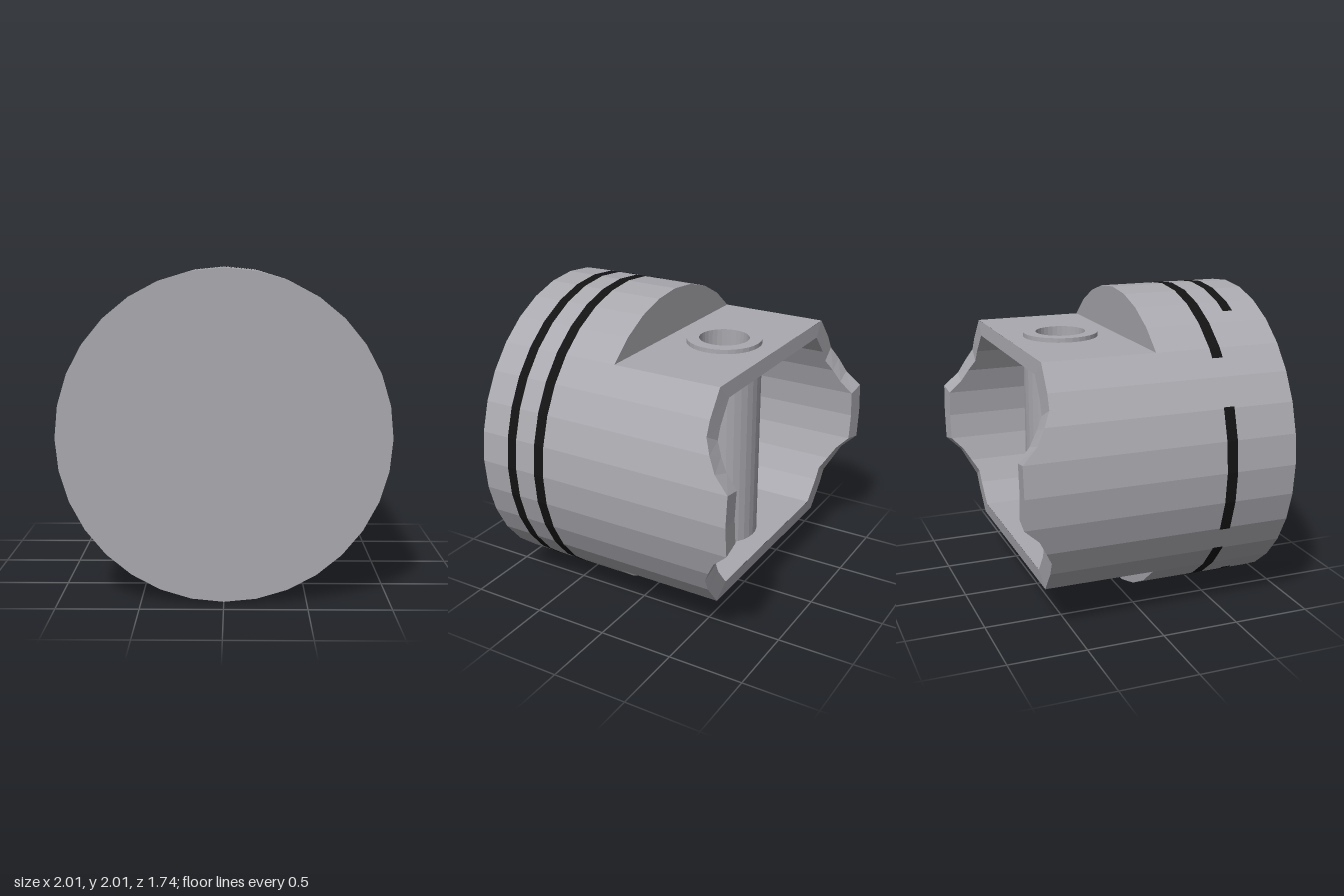
import * as THREE from 'three';

const SIDES = 32;
const STEP = (Math.PI * 2) / SIDES;
const FLAT = Math.SQRT1_2; // half height of the flats cut into the skirt
const INNER = 0.87; // wall scale of the hollow
const PIN_Z = -0.31;

const metal = new THREE.MeshStandardMaterial({ color: 0xa9a9af, flatShading: true });
metal.name = 'metal';
const black = new THREE.MeshStandardMaterial({ color: 0x131313, flatShading: true, side: THREE.DoubleSide });
black.name = 'black';

// Point of the 32-sided outline at any angle
function outline(a, radius = 1) {
  const local = a - (Math.floor(a / STEP + 1e-6) + 0.5) * STEP;
  const r = (radius * Math.cos(STEP / 2)) / Math.cos(local);
  return [Math.cos(a) * r, Math.sin(a) * r];
}

// Skirt outline: the same, with flat top and bottom
function flattened(a) {
  const [x, y] = outline(a);
  return [x, THREE.MathUtils.clamp(y, -FLAT, FLAT)];
}

// Angles: every corner plus the extra breaks of the skirt rim
const ANGLES = [];
for (let i = 0; i < SIDES; i++) ANGLES.push(i * STEP);
for (const y of [0.29, 0.47]) {
  const a = Math.asin(y);
  ANGLES.push(a, Math.PI - a, Math.PI + a, Math.PI * 2 - a);
}
ANGLES.sort((p, q) => p - q);

// Height of the skirt's open edge, longest at the two sides
function rimZ(y) {
  const knots = [[0, -0.87], [0.2, -0.87], [0.29, -0.77], [0.47, -0.675], [0.72, -0.665]];
  const h = Math.abs(y);
  for (let i = 1; i < knots.length; i++) {
    const [y0, z0] = knots[i - 1], [y1, z1] = knots[i];
    if (h <= y1) return z0 + ((z1 - z0) * (h - y0)) / (y1 - y0);
  }
  return -0.665;
}

// Joins loops of points with quads; keep(loop, i, j) can leave quads out
function loft(loops, keep = () => true) {
  const pos = [];
  for (let k = 0; k + 1 < loops.length; k++) {
    const A = loops[k], B = loops[k + 1];
    for (let i = 0; i < A.length; i++) {
      const j = (i + 1) % A.length;
      if (keep(k, i, j)) pos.push(...A[i], ...B[i], ...B[j], ...A[i], ...B[j], ...A[j]);
    }
  }
  return fromPositions(pos);
}

function fromPositions(pos) {
  const g = new THREE.BufferGeometry();
  g.setAttribute('position', new THREE.Float32BufferAttribute(pos, 3));
  g.computeVertexNormals();
  return g;
}

// Upward plate with a pin hole; width and z range given
function plate(halfWidth, zFront, zBack) {
  const s = new THREE.Shape([
    new THREE.Vector2(-halfWidth, -zFront), new THREE.Vector2(halfWidth, -zFront),
    new THREE.Vector2(halfWidth, -zBack), new THREE.Vector2(-halfWidth, -zBack),
  ]);
  const hole = new THREE.Path();
  hole.absarc(0, -PIN_Z, 0.2, 0, Math.PI * 2, true);
  s.holes.push(hole);
  return new THREE.ShapeGeometry(s, 12).rotateX(-Math.PI / 2);
}

// Thin band on the crown between two angles in degrees
function band(from, to, z0, z1) {
  const a0 = THREE.MathUtils.degToRad(from), a1 = THREE.MathUtils.degToRad(to);
  const list = [a0];
  for (let i = Math.floor(a0 / STEP) + 1; i * STEP < a1; i++) list.push(i * STEP);
  list.push(a1);
  const pos = [];
  for (let i = 0; i + 1 < list.length; i++) {
    const p = outline(list[i], 1.003), q = outline(list[i + 1], 1.003);
    pos.push(...p, z1, ...p, z0, ...q, z0, ...p, z1, ...q, z0, ...q, z1);
  }
  return fromPositions(pos);
}

export function createModel() {
  const model = new THREE.Group();
  model.name = 'piston';
  const add = (name, geometry, material, parent = model) => {
    const mesh = new THREE.Mesh(geometry, material);
    mesh.name = name;
    parent.add(mesh);
    return mesh;
  };

  // Crown: front face, round wall and the ledges above the flats
  add('crown', loft([
    ANGLES.map(() => [0, 0, 0.87]),
    ANGLES.map((a) => [...outline(a), 0.87]),
    ANGLES.map((a) => [...outline(a), 0.05]),
    ANGLES.map((a) => [...flattened(a), 0.05]),
  ]), metal);

  // Skirt: outer wall, shaped rim, inner wall and underside of the crown
  const onFlat = (i) => Math.abs(flattened(ANGLES[i])[1]) > FLAT - 1e-4;
  add('skirt', loft([
    ANGLES.map((a) => [...flattened(a), 0.05]),
    ANGLES.map((a) => { const [x, y] = flattened(a); return [x, y, rimZ(y)]; }),
    ANGLES.map((a) => {
      const [x, y] = flattened(a);
      return [x * INNER, y * INNER, rimZ(y) + (Math.abs(y) < 0.25 ? 0.01 : -0.01)];
    }),
    ANGLES.map((a) => { const [x, y] = flattened(a); return [x * INNER, y * INNER, 0.65]; }),
    ANGLES.map(() => [0, 0, 0.65]),
  ], (k, i, j) => !((k === 0 || k === 2) && onFlat(i) && onFlat(j))), metal);

  // Flat walls with pin holes, top and bottom
  for (const [side, turn] of [['top', 0], ['bottom', Math.PI]]) {
    const outer = plate(FLAT, 0.05, -0.665).translate(0, FLAT, 0).rotateZ(turn);
    const inner = plate(FLAT * INNER, 0.65, -0.675).translate(0, -FLAT * INNER, 0).rotateZ(turn);
    add(side + 'FlatOuter', outer, metal);
    add(side === 'top' ? 'bottomFlatInner' : 'topFlatInner', inner, metal);
  }

  // Hollow wrist pin
  const h = 0.735;
  const profile = [[0.16, -h], [0.24, -h], [0.24, h], [0.16, h], [0.16, -h]];
  const pin = add('wristPin', new THREE.LatheGeometry(
    profile.map(([x, y]) => new THREE.Vector2(x, y)), 32), metal);
  pin.position.z = PIN_Z;

  // Piston rings, broken into arcs
  const rings = new THREE.Group();
  rings.name = 'pistonRings';
  model.add(rings);
  add('frontRing', band(-125, 118, 0.61, 0.675), black, rings);
  for (const [from, to] of [[-59, 139], [157, 203], [213, 288]]) {
    add('rearRingArc', band(from, to, 0.4, 0.47), black, rings);
  }

  model.position.y = 1;
  const root = new THREE.Group();
  root.name = 'pistonModel';
  root.add(model);
  return root;
}
